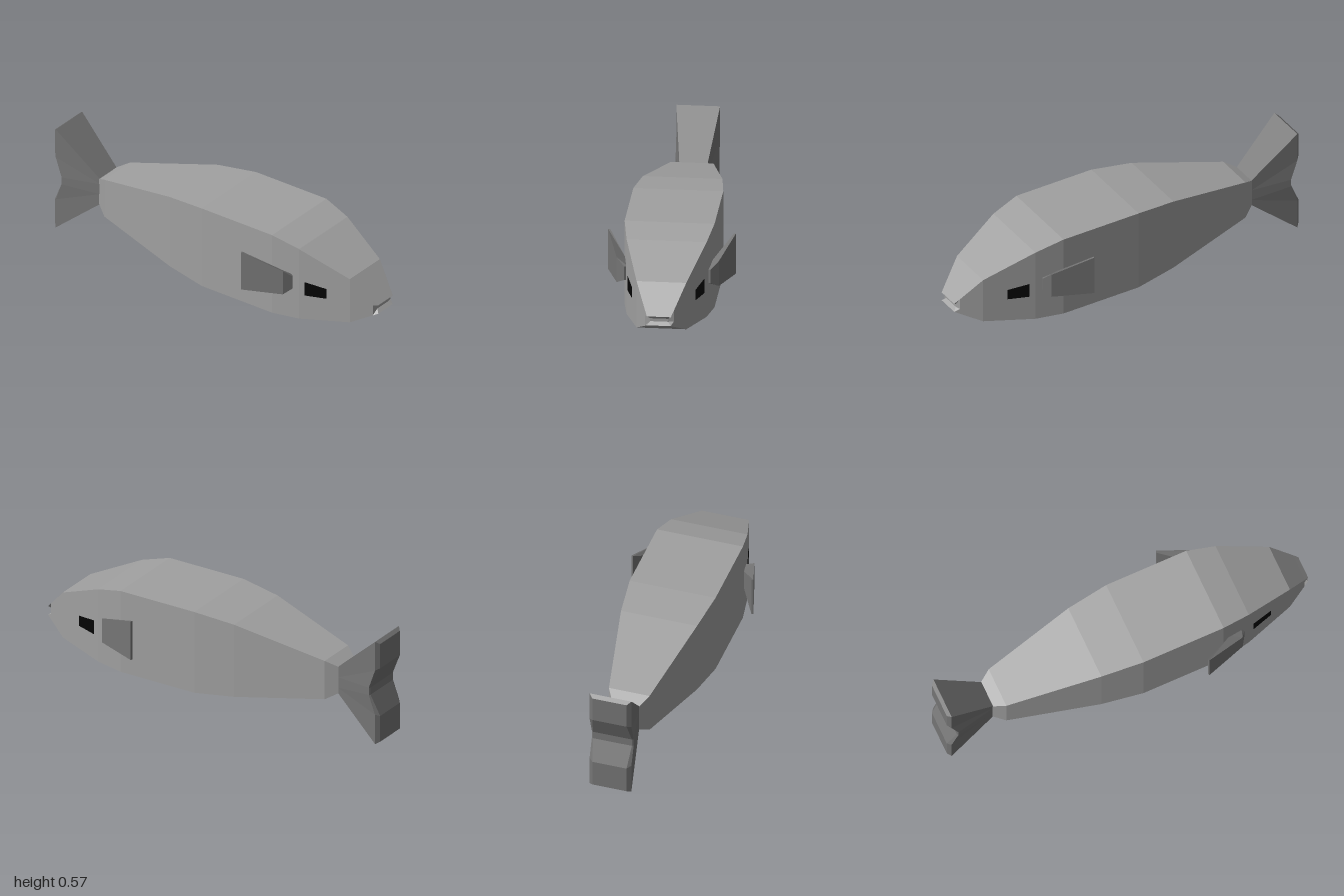
import * as THREE from 'three';

const BODY_GREY = 0xa0a0a0, FIN_GREY = 0x757575, EYE_BLACK = 0x040404;

// Lofts rings ordered from +z to -z. A ring is a list of rows, bottom to top;
// each row is a pair of points: [left (+x) point, right (-x) point].
function loft(name, rings, color) {
  const pos = [];
  const quad = (a, b, c, d) => pos.push(...a, ...b, ...c, ...a, ...c, ...d);
  const loops = rings.map(r => [...r.map(p => p[0]), ...r.map(p => p[1]).reverse()]);
  for (let i = 0; i < loops.length - 1; i++) {
    const a = loops[i], b = loops[i + 1], n = a.length;
    for (let j = 0; j < n; j++) {
      const k = (j + 1) % n;
      quad(a[j], b[j], b[k], a[k]);
    }
  }
  // end caps, one strip per row
  const front = rings[0], back = rings[rings.length - 1];
  for (let i = 0; i < front.length - 1; i++) {
    quad(front[i][0], front[i + 1][0], front[i + 1][1], front[i][1]);
    quad(back[i][1], back[i + 1][1], back[i + 1][0], back[i][0]);
  }
  const geo = new THREE.BufferGeometry();
  geo.setAttribute('position', new THREE.Float32BufferAttribute(pos, 3));
  geo.computeVertexNormals();
  const mesh = new THREE.Mesh(geo, new THREE.MeshStandardMaterial({ color, flatShading: true }));
  mesh.name = name;
  return mesh;
}

// Row symmetric about x = 0
const row = (w, y, z) => [[w, y, z], [-w, y, z]];

// Reflects rings across x = 0, swapping sides to keep faces outward
const mirror = rings => rings.map(r => r.map(([l, q]) =>
  [[-q[0], q[1], q[2]], [-l[0], l[1], l[2]]]));

function createBody() {
  // z, half width, bottom, top
  const sections = [
    [0.975, 0.073, 0.163, 0.25],
    [0.87, 0.125, 0.11, 0.36],
    [0.61, 0.201, 0.076, 0.478],
    [0.46, 0.226, 0.069, 0.518],
    [0.02, 0.226, 0.069, 0.518],
    [-0.2, 0.2, 0.094, 0.495],
    [-0.68, 0.107, 0.17, 0.383],
    [-0.74, 0.07, 0.205, 0.35],
  ];
  // lips with the mouth groove between them
  const mouth = [
    row(0.06, 0.176, 1), row(0.045, 0.192, 0.982),
    row(0.045, 0.208, 0.982), row(0.06, 0.224, 1),
  ];
  const rings = sections.map(([z, w, lo, hi]) =>
    [0, 0.33, 0.67, 1].map(t => row(w, lo + (hi - lo) * t, z)));
  return loft('body', [mouth, ...rings], BODY_GREY);
}

function createTail() {
  // forked trailing edge, flared rim: y, z
  const rim = [[0.002, -0.982], [0.165, -0.982], [0.265, -0.945],
    [0.305, -0.945], [0.41, -0.982], [0.57, -0.982]];
  // bevelled end face: half width, y, z
  const end = [[0.09, 0.012, -1], [0.09, 0.155, -1], [0.102, 0.265, -0.95],
    [0.102, 0.305, -0.95], [0.09, 0.42, -1], [0.09, 0.555, -1]];
  return loft('tailFin', [
    rim.map((_, i) => row(0.07, 0.205 + 0.145 * i / 5, -0.735)),
    rim.map(([y, z]) => row(0.11, y, z)),
    end.map(p => row(...p)),
  ], FIN_GREY);
}

export function createModel() {
  const group = new THREE.Group();
  group.name = 'fish';
  group.add(createBody(), createTail());

  // left side fin, each section: outer [x, z, bottom, top], inner the same
  const fin = [
    [[0.217, 0.578, 0.245, 0.317], [0.198, 0.57, 0.245, 0.317]],
    [[0.257, 0.55, 0.221, 0.355], [0.215, 0.5, 0.237, 0.332]],
    [[0.321, 0.338, 0.205, 0.42], [0.311, 0.335, 0.205, 0.42]],
  ].map(([o, n]) => [2, 3].map(k => [[o[0], o[k], o[1]], [n[0], n[k], n[1]]]));
  group.add(loft('leftFin', fin, FIN_GREY), loft('rightFin', mirror(fin), FIN_GREY));

  // left eye: thin slab lying on the cheek
  const eye = [
    [0.162, 0.75, 0.222, 0.277],
    [0.194, 0.64, 0.217, 0.293],
  ].map(([x, z, lo, hi]) => [lo, hi].map(y => [[x, y, z], [x - 0.02, y, z]]));
  group.add(loft('leftEye', eye, EYE_BLACK), loft('rightEye', mirror(eye), EYE_BLACK));

  return group;
}
